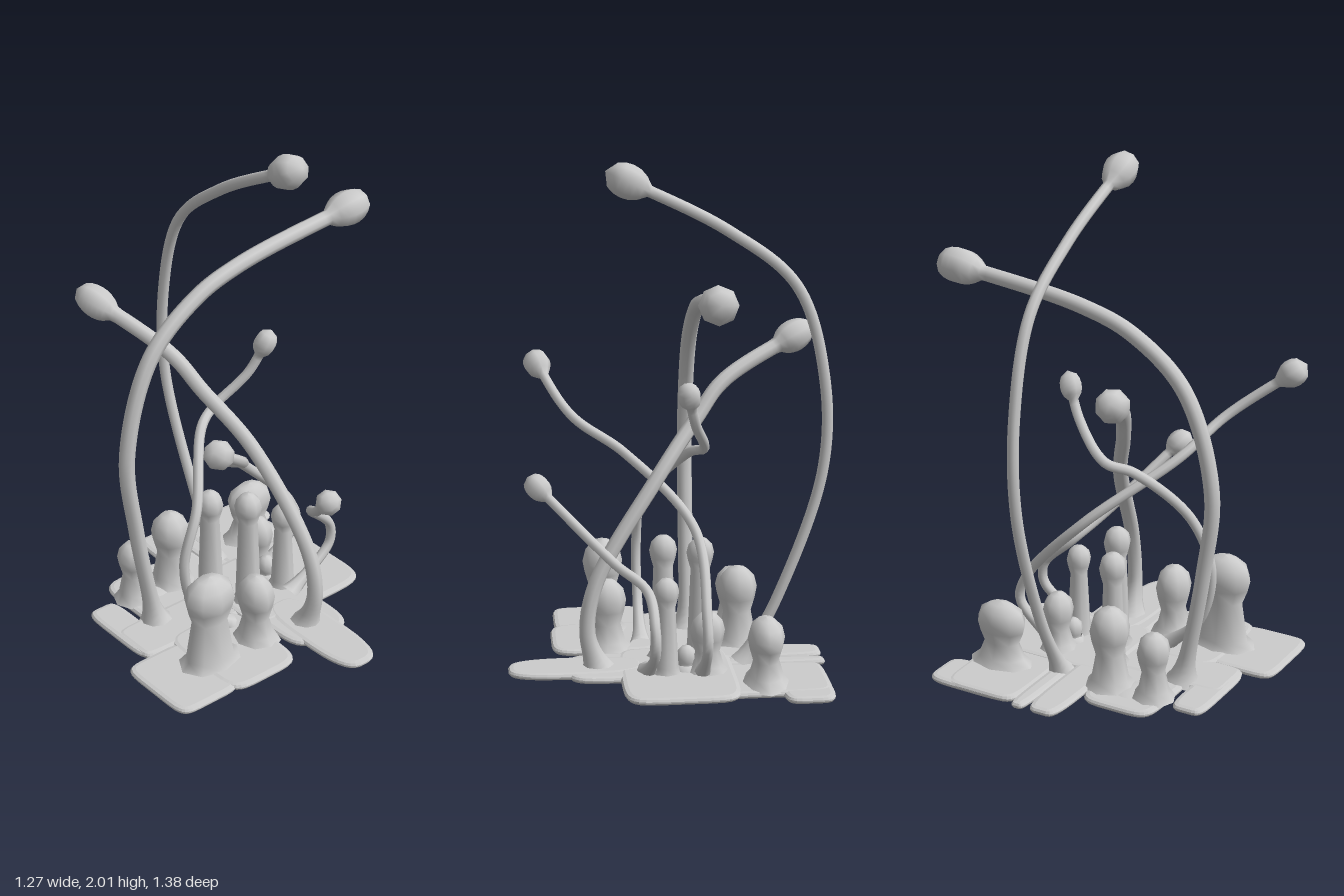
import * as THREE from 'three';
import { mergeVertices } from 'three/addons/utils/BufferGeometryUtils.js';

const material = new THREE.MeshStandardMaterial({ color: 0xcccccc });

function part(name, geometry) {
  const mesh = new THREE.Mesh(geometry, material);
  mesh.name = name;
  return mesh;
}

// Bent stalk with a flared foot and a bulb at the end, in one skin
function stalk(name, radius, bulbR, bulbHalf, ...path) {
  const pts = path.map((p) => new THREE.Vector3(...p));
  const end = pts[pts.length - 1];
  const dir = end.clone().sub(pts[pts.length - 2]).normalize();
  end.addScaledVector(dir, bulbHalf);
  const curve = new THREE.CatmullRomCurve3(pts, false, 'centripetal');
  const rings = 80, sides = 8, length = curve.getLength();
  const geo = new THREE.TubeGeometry(curve, rings, 1, sides);
  const pos = geo.attributes.position;
  const v = new THREE.Vector3();
  for (let i = 0; i <= rings; i++) {
    const s = (i / rings) * length;
    const centre = curve.getPointAt(i / rings);
    const k = (length - s - bulbHalf) / bulbHalf; // -1 at the tip, 0 mid-bulb
    const shaft = radius * (1 + 1.3 * Math.exp(-s / 0.05));
    const bulb = bulbR * Math.sqrt(Math.max(0, 1 - k * k));
    const neck = bulbR * 0.85 * Math.exp(-k * k * 1.1);
    const r = k > 0 ? Math.max(shaft, bulb, neck) : bulb;
    for (let j = 0; j <= sides; j++) {
      const id = i * (sides + 1) + j;
      v.fromBufferAttribute(pos, id).sub(centre).multiplyScalar(r).add(centre);
      pos.setXYZ(id, v.x, v.y, v.z);
    }
  }
  geo.deleteAttribute('normal');
  geo.deleteAttribute('uv');
  const welded = mergeVertices(geo, 1e-4);
  welded.computeVertexNormals();
  return part(name, welded);
}

// Short knob: flared foot, neck and faceted round cap
function knob(name, x, z, y, r, stretch) {
  const stem = r * 0.7;
  const profile = [
    [stem * 1.9, 0.045], [stem * 1.35, 0.08], [stem, y - r * 1.25], [r * 0.9, y - r * 0.55],
    [r, y], [r * 0.85, y + r * 0.6], [r * 0.45, y + r], [0, y + r * 1.1],
  ].map(([a, b]) => new THREE.Vector2(a, b));
  const mesh = part(name, new THREE.LatheGeometry(profile, 8));
  mesh.position.set(x, 0, z);
  mesh.scale.z = stretch;
  return mesh;
}

// Thin ground lobe: superellipse slab with a rounded rim, filling x0..x1, z0..z1
function lobe(name, y, x0, x1, z0, z1, power = 5) {
  const outline = [];
  const round = (c) => Math.sign(c) * Math.abs(c) ** (2 / power);
  for (let i = 0; i < 32; i++) {
    const a = ((i + 0.5) / 32) * Math.PI * 2;
    outline.push(new THREE.Vector2(
      (x0 + x1) / 2 + ((x1 - x0) / 2) * round(Math.cos(a)),
      -(z0 + z1) / 2 + ((z1 - z0) / 2) * round(Math.sin(a)),
    ));
  }
  const geo = new THREE.ExtrudeGeometry(new THREE.Shape(outline), {
    depth: 0.006, bevelThickness: 0.011, bevelSize: 0.02, bevelOffset: -0.02, bevelSegments: 2,
  });
  geo.rotateX(-Math.PI / 2).translate(0, y, 0);
  return part(name, geo);
}

export function createModel() {
  const group = new THREE.Group();

  // Overlapping ground lobes
  group.add(
    lobe('backRightLobe', 0.036, -0.6, -0.05, -0.4, -0.07, 7),
    lobe('backRightCorner', 0.034, -0.6, -0.4, -0.47, -0.1),
    lobe('backLobe', 0.041, -0.25, 0.2, -0.45, 0.13, 6),
    lobe('backLeftLobe', 0.039, 0.0, 0.4, -0.2, 0.09, 4),
    lobe('leftTip', 0.042, 0.1, 0.63, -0.15, 0.05, 3),
    lobe('rightStrip', 0.038, -0.62, 0, -0.08, -0.01),
    lobe('rightLobe', 0.04, -0.62, 0.1, -0.01, 0.13),
    lobe('frontRightLobe', 0.034, -0.45, -0.05, 0.12, 0.43),
    lobe('middleLobe', 0.037, -0.16, 0.07, 0, 0.58, 8),
    lobe('frontLobe', 0.035, -0.33, 0.05, 0.45, 0.59),
    lobe('frontLeftLobe', 0.036, 0.06, 0.43, 0.4, 0.69, 6),
    lobe('leftLobe', 0.039, 0.01, 0.45, 0.12, 0.46),
  );

  // Swollen underside
  const belly = part('underside', new THREE.SphereGeometry(1, 16, 8));
  belly.scale.set(0.1, 0.03, 0.1);
  belly.position.set(-0.3, 0.03, 0.28);
  group.add(belly);

  // Long bent stalks, foot to bulb
  group.add(
    stalk('tallStalk', 0.022, 0.066, 0.09, [-0.29, 0.05, -0.05], [-0.43, 0.32, -0.05], [-0.6, 0.82, -0.04],
      [-0.6, 1.19, -0.04], [-0.49, 1.54, -0.04], [-0.23, 1.75, -0.04], [0.155, 1.94, -0.04]),
    stalk('archedStalk', 0.031, 0.072, 0.105, [-0.12, 0.04, 0.4], [-0.12, 0.5, 0.48], [-0.12, 0.85, 0.51],
      [-0.12, 1.22, 0.39], [-0.12, 1.4, 0.18], [-0.12, 1.48, -0.04], [-0.12, 1.56, -0.59]),
    stalk('crossingStalk', 0.03, 0.064, 0.095, [0.28, 0.04, -0.05], [0.32, 0.2, -0.06], [0.28, 0.4, -0.05],
      [0.04, 0.78, 0.03], [-0.13, 1.0, 0.14], [-0.24, 1.13, 0.2], [-0.54, 1.28, 0.33]),
    stalk('forwardStalk', 0.02, 0.055, 0.065, [-0.12, 0.05, -0.17], [-0.12, 0.21, -0.34], [-0.12, 0.32, -0.31],
      [-0.1, 0.6, -0.05], [0.15, 0.84, 0.23], [0.35, 0.97, 0.33], [0.48, 1.145, 0.55]),
    stalk('lowStalk', 0.02, 0.05, 0.06, [0.09, 0.05, -0.13], [0.08, 0.2, -0.35], [0.08, 0.29, -0.35],
      [0.1, 0.41, -0.23], [0.22, 0.5, -0.15], [0.5, 0.755, 0.045]),
    stalk('twistedStalk', 0.02, 0.045, 0.06, [0.09, 0.05, 0.2], [0.09, 0.2, 0.36], [0.09, 0.42, 0.41],
      [0.07, 0.63, 0.33], [-0.1, 0.85, 0.17], [-0.15, 0.89, 0.07], [-0.1, 1.02, -0.07], [-0.07, 1.14, -0.125]),
  );

  // Short knobs
  group.add(
    knob('bigFrontKnob', 0.23, 0.4, 0.345, 0.082, 1.35),
    knob('rightKnob', -0.3, 0.18, 0.285, 0.08, 1),
    knob('frontRightKnob', -0.3, 0.37, 0.24, 0.066, 1),
    knob('backRightKnob', -0.35, -0.28, 0.23, 0.072, 1.5),
    knob('leftKnob', 0.23, 0.17, 0.25, 0.08, 0.9),
    knob('tallCentreKnob', 0.015, 0.03, 0.495, 0.055, 1),
    knob('tallRightKnob', -0.14, 0.1, 0.46, 0.055, 1),
    knob('tallBackKnob', 0.02, -0.15, 0.38, 0.05, 1),
    knob('lowBackKnob', -0.14, -0.15, 0.22, 0.068, 0.9),
    knob('tinyKnob', -0.06, -0.13, 0.11, 0.04, 1),
  );

  return group;
}
